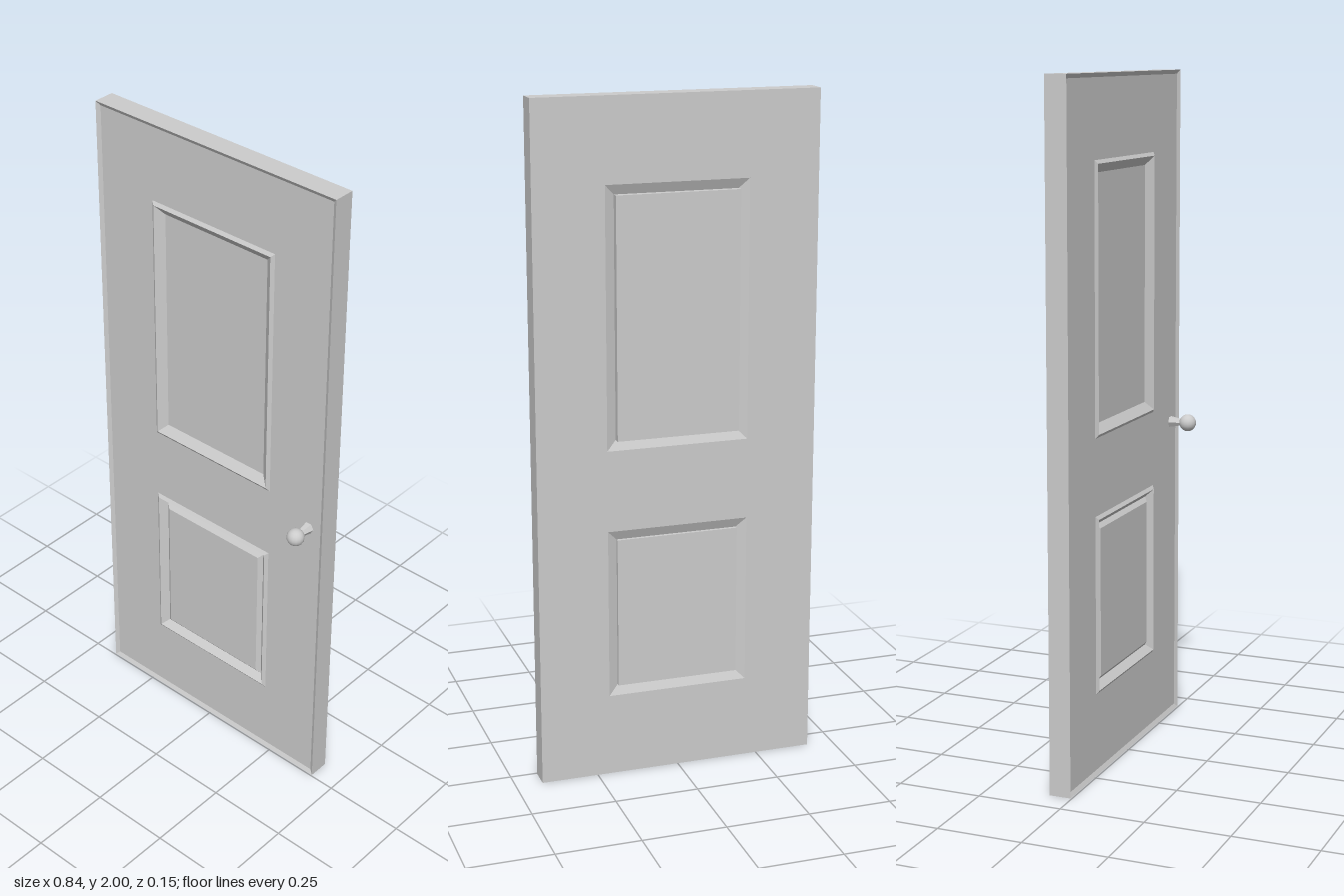
import * as THREE from 'three';

const material = new THREE.MeshStandardMaterial({ color: 0xcccccc });

function addMesh(parent, name, geometry) {
  const mesh = new THREE.Mesh(geometry, material);
  mesh.name = name;
  parent.add(mesh);
  return mesh;
}

// A rectangle is { w: half width, y0, y1 }; corners run counter-clockwise from the front.
const corners = ({ w, y0, y1 }) => [[-w, y0], [w, y0], [w, y1], [-w, y1]];
const inset = ({ w, y0, y1 }, d) => ({ w: w - d, y0: y0 + d, y1: y1 - d });

// Mitred strips between successive [rectangle, z] rings, with optional caps.
function ringLoft(rings, { capFront = false, capBack = false } = {}) {
  const pos = [];
  const loops = rings.map(([r, z]) => corners(r).map(([x, y]) => [x, y, z]));
  const quad = (a, b, c, d) => pos.push(...a, ...b, ...c, ...a, ...c, ...d);
  for (let k = 0; k < loops.length - 1; k++) {
    const a = loops[k], b = loops[k + 1];
    for (let i = 0; i < 4; i++) {
      const j = (i + 1) % 4;
      quad(a[i], a[j], b[j], b[i]);
    }
  }
  if (capFront) quad(...loops[loops.length - 1]);
  if (capBack) quad(...[...loops[0]].reverse());
  const geometry = new THREE.BufferGeometry();
  geometry.setAttribute('position', new THREE.Float32BufferAttribute(pos, 3));
  geometry.computeVertexNormals();
  return geometry;
}

// Flat door face with rectangular openings.
function faceWithOpenings(outer, openings, z, back) {
  const points = (r) => corners(r).map(([x, y]) => new THREE.Vector2(x, y));
  const shape = new THREE.Shape(points(outer));
  for (const o of openings) shape.holes.push(new THREE.Path(points(o).reverse()));
  const geometry = new THREE.ShapeGeometry(shape);
  if (back) geometry.rotateY(Math.PI);
  return geometry.translate(0, 0, z);
}

export function createModel() {
  const door = new THREE.Group();
  door.name = 'door';

  const rim = -0.004, face = -0.011, back = -0.068;
  const outline = { w: 0.42, y0: 0, y1: 2 };
  const lip = inset(outline, 0.012);
  const panels = [
    { name: 'upperPanel', rect: { w: 0.22, y0: 0.99, y1: 1.765 }, raised: false, plate: -0.076 },
    { name: 'lowerPanel', rect: { w: 0.22, y0: 0.24, y1: 0.765 }, raised: true, plate: -0.066 },
  ];
  const backOpening = (r) => inset(r, 0.008);

  // Slab: edges with a sloping front lip, then front and back faces
  addMesh(door, 'slabEdges', ringLoft([[outline, back], [outline, rim], [lip, face]]));
  addMesh(door, 'frontFace', faceWithOpenings(lip, panels.map((p) => p.rect), face, false));
  addMesh(door, 'backFace', faceWithOpenings(outline, panels.map((p) => backOpening(p.rect)), back, true));

  for (const { name, rect, raised, plate } of panels) {
    const group = new THREE.Group();
    group.name = name;
    door.add(group);

    // Front: raised ridge, slope inward, then a flat or bevelled field
    const field = inset(rect, raised ? 0.03 : 0.036);
    const front = [[rect, face], [inset(rect, 0.01), rim], [field, -0.024]];
    if (raised) front.push([inset(rect, 0.043), -0.014]);
    addMesh(group, name + 'Front', ringLoft(front, { capFront: true }));

    // Back: plate standing in a sloped recess
    const plateRect = inset(rect, 0.037);
    addMesh(group, name + 'Back', ringLoft(
      [[plateRect, plate], [plateRect, -0.055], [backOpening(rect), back]], { capBack: true }));
  }

  // Knob: flared six-sided neck and a ball
  const knob = new THREE.Group();
  knob.name = 'knob';
  knob.position.set(0.365, 0.935, 0);
  door.add(knob);
  const neckGeometry = new THREE.CylinderGeometry(0.009, 0.018, 0.045, 6).toNonIndexed();
  neckGeometry.rotateX(Math.PI / 2);
  neckGeometry.rotateZ(Math.PI / 6);
  neckGeometry.computeVertexNormals();
  addMesh(knob, 'knobNeck', neckGeometry).position.z = 0.0105;
  const ball = addMesh(knob, 'knobBall', new THREE.SphereGeometry(0.026, 16, 10));
  ball.position.z = 0.046;

  return door;
}
